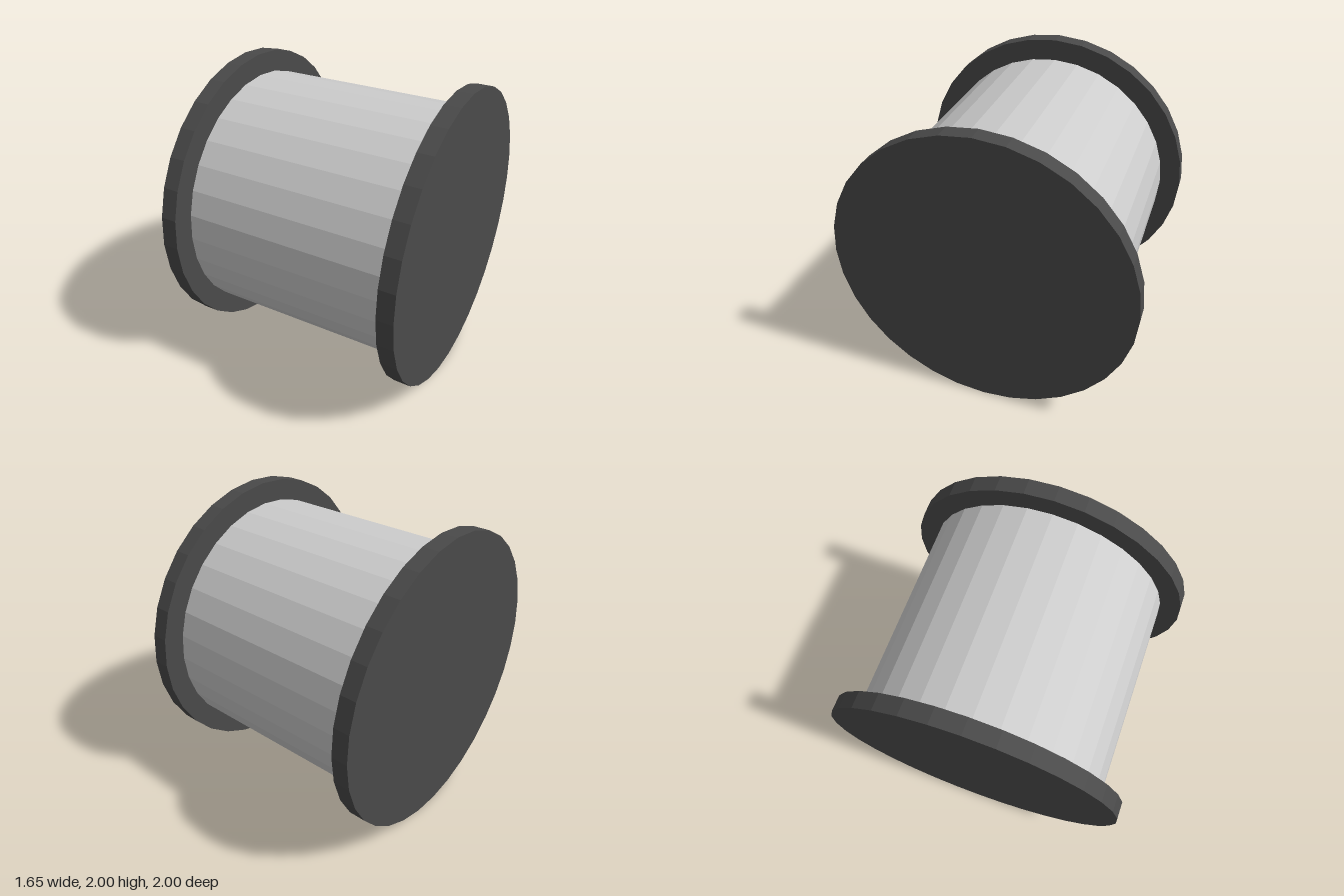
import * as THREE from 'three';

const SIDES = 32;
const CENTRE_Y = 1;

export function createModel() {
  const model = new THREE.Group();
  model.name = 'spool';

  const paleGrey = new THREE.MeshStandardMaterial({ color: 0xcccccc, flatShading: true });
  paleGrey.name = 'paleGrey';
  const darkGrey = new THREE.MeshStandardMaterial({ color: 0x4a4a4a, flatShading: true });
  darkGrey.name = 'darkGrey';

  // A faceted drum lying along the x axis
  function drum(name, radius, xMin, xMax, material, open = false) {
    const geometry = new THREE.CylinderGeometry(radius, radius, xMax - xMin, SIDES, 1, open);
    geometry.rotateZ(-Math.PI / 2);
    const mesh = new THREE.Mesh(geometry, material);
    mesh.name = name;
    mesh.position.set((xMin + xMax) / 2, CENTRE_Y, 0);
    model.add(mesh);
  }

  // Barrel between the flanges; its ends are hidden by them
  drum('barrel', 0.855, -0.715, 0.715, paleGrey, true);

  // Wider end discs
  drum('leftFlange', 1, 0.713, 0.823, darkGrey);
  drum('rightFlange', 1, -0.823, -0.713, darkGrey);

  return model;
}
